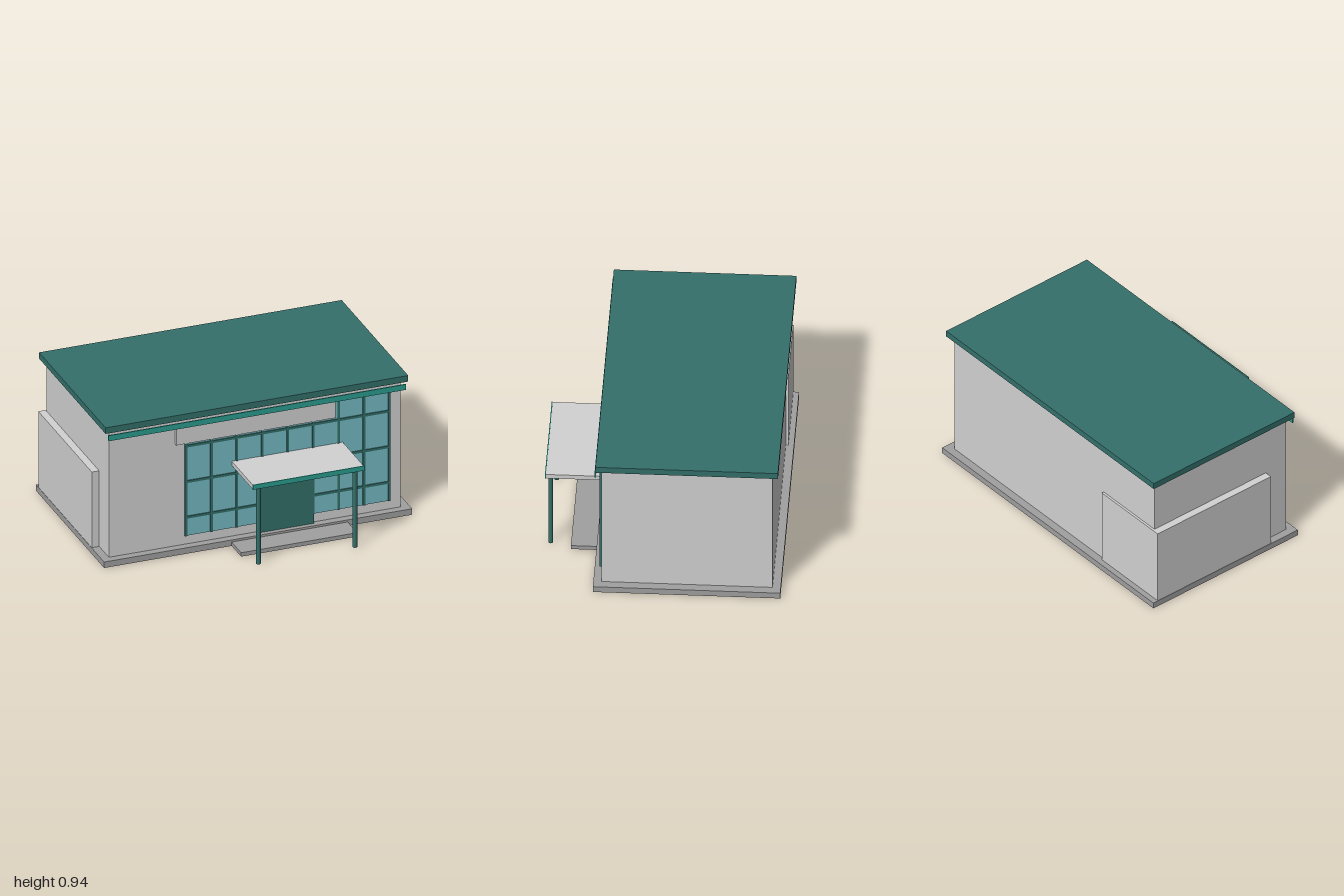
import * as THREE from 'three';

const material = (name, color) => {
  const m = new THREE.MeshStandardMaterial({ color });
  m.name = name;
  return m;
};

export function createModel() {
  const wall = material('lightGreyWall', 0xd2d2d2);
  const stone = material('greyStone', 0xa0a0a0);
  const dark = material('darkTeal', 0x34706b);
  const trim = material('brightTeal', 0x2a9d8f);
  const glass = material('blueGlass', 0x76bac4);

  const model = new THREE.Group();
  model.name = 'building';

  // Box given by its extents on each axis
  const box = (name, mat, [x0, x1], [y0, y1], [z0, z1], parent = model) => {
    const mesh = new THREE.Mesh(new THREE.BoxGeometry(x1 - x0, y1 - y0, z1 - z0), mat);
    mesh.position.set((x0 + x1) / 2, (y0 + y1) / 2, (z0 + z1) / 2);
    mesh.name = name;
    parent.add(mesh);
    return mesh;
  };

  // Main volume
  box('plinth', stone, [-1, 1], [0, 0.04], [-0.725, 0.41]);
  box('walls', wall, [-0.95, 0.945], [0.04, 0.9], [-0.675, 0.36]);
  box('roof', dark, [-0.985, 0.98], [0.895, 0.936], [-0.71, 0.396]);
  box('fascia', trim, [-0.967, 0.963], [0.845, 0.882], [0.394, 0.402]);

  // Low cladding wrapped round the rear corner
  box('sideCladding', wall, [-0.998, -0.95], [0.04, 0.55], [-0.69, 0.2]);
  box('rearCladding', wall, [-0.95, -0.47], [0.04, 0.55], [-0.69, -0.675]);

  // Glazed front with a taller bay at one end
  const glazing = new THREE.Group();
  glazing.name = 'glazing';
  model.add(glazing);
  box('mainGlass', glass, [-0.455, 0.515], [0.1, 0.73], [0.36, 0.369], glazing);
  box('tallGlass', glass, [0.515, 0.868], [0.1, 0.832], [0.36, 0.369], glazing);
  for (let i = 0; i < 9; i++) {
    const x = -0.453 + i * 0.165;
    box('mullion', dark, [x - 0.007, x + 0.007], [0.1, x > 0.5 ? 0.832 : 0.73], [0.36, 0.376], glazing);
  }
  for (const y of [0.225, 0.465, 0.705]) {
    box('transom', dark, [-0.455, 0.868], [y - 0.008, y + 0.008], [0.36, 0.375], glazing);
  }
  box('headerPanel', wall, [-0.52, 0.515], [0.727, 0.842], [0.36, 0.381]);
  box('door', dark, [0.03, 0.375], [0.04, 0.415], [0.36, 0.379]);

  // Entrance canopy, posts and step
  const entrance = new THREE.Group();
  entrance.name = 'entrance';
  model.add(entrance);
  box('canopy', wall, [-0.155, 0.565], [0.52, 0.549], [0.36, 0.719], entrance);
  box('canopyTrim', trim, [-0.157, 0.567], [0.52, 0.552], [0.719, 0.725], entrance);
  for (const x of [-0.108, 0.518]) {
    const post = new THREE.Mesh(new THREE.CylinderGeometry(0.0145, 0.0145, 0.52, 12), dark);
    post.position.set(x, 0.26, 0.692);
    post.name = 'post';
    entrance.add(post);
  }
  box('step', stone, [-0.172, 0.582], [0, 0.026], [0.41, 0.567], entrance);

  return model;
}
